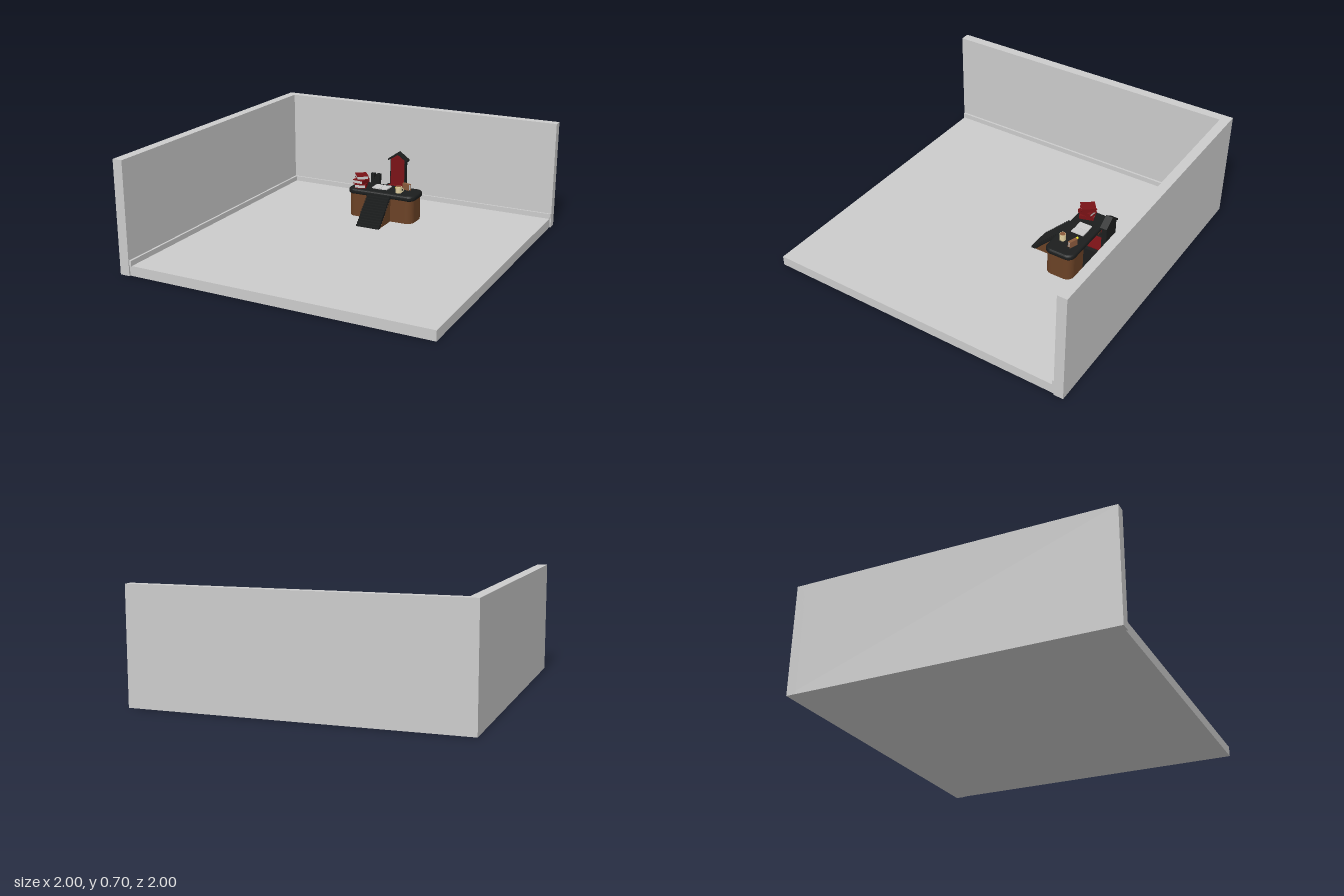
import * as THREE from 'three';

const mat = (color) => new THREE.MeshStandardMaterial({ color });
const grey = mat(0xcccccc), black = mat(0x1c1e1e), brown = mat(0x6b4226), red = mat(0x7a1216);
const paper = mat(0xd8d8d8), cream = mat(0xe0d0a0), yellow = mat(0xe8e020), tan = mat(0x8a5a3c);

function add(parent, name, geometry, material, x = 0, y = 0, z = 0) {
  const mesh = new THREE.Mesh(geometry, material);
  mesh.name = name;
  mesh.position.set(x, y, z);
  parent.add(mesh);
  return mesh;
}

// Box given by its min and max on each axis
function span(parent, name, material, x0, x1, y0, y1, z0, z1) {
  return add(parent, name, new THREE.BoxGeometry(x1 - x0, y1 - y0, z1 - z0), material,
    (x0 + x1) / 2, (y0 + y1) / 2, (z0 + z1) / 2);
}

// Upright rounded slab, base at y = 0
function roundedSlab(w, d, r, h, bevel = 0) {
  const x = w / 2 - bevel, y = d / 2 - bevel, s = new THREE.Shape();
  s.absarc(x - r, y - r, r, 0, Math.PI / 2);
  s.absarc(-x + r, y - r, r, Math.PI / 2, Math.PI);
  s.absarc(-x + r, -y + r, r, Math.PI, Math.PI * 1.5);
  s.absarc(x - r, -y + r, r, Math.PI * 1.5, Math.PI * 2);
  s.closePath();
  return new THREE.ExtrudeGeometry(s, {
    depth: h - 2 * bevel, bevelEnabled: bevel > 0, bevelSize: bevel,
    bevelThickness: bevel, bevelSegments: 4, curveSegments: 8,
  }).rotateX(-Math.PI / 2).translate(0, bevel, 0);
}

// Closed book lying flat: two covers, a spine and the pages
function closedBook(w, h, d, cover) {
  const book = new THREE.Group(), t = h * 0.14;
  span(book, 'lowerCover', cover, -w / 2, w / 2, 0, t, -d / 2, d / 2);
  span(book, 'upperCover', cover, -w / 2, w / 2, h - t, h, -d / 2, d / 2);
  span(book, 'spine', cover, w / 2 - t, w / 2, t, h - t, -d / 2, d / 2);
  span(book, 'pages', paper, -w / 2 + t, w / 2 - t, t, h - t, -d / 2 + t, d / 2 - t);
  return book;
}

function buildRoom() {
  const room = new THREE.Group();
  room.name = 'room';
  span(room, 'floor', grey, -0.99, 0.987, 0, 0.062, -0.99, 0.99);
  span(room, 'backWall', grey, -1, 0.995, 0, 0.7, -1, -0.94);
  span(room, 'sideWall', grey, -1, -0.937, 0, 0.7, -1, 1);
  span(room, 'backBaseboard', grey, -0.94, 0.99, 0.06, 0.095, -0.94, -0.927);
  span(room, 'sideBaseboard', grey, -0.94, -0.923, 0.06, 0.095, -0.94, 0.995);
  return room;
}

function buildDesk() {
  const desk = new THREE.Group();
  desk.name = 'desk';
  add(desk, 'deskBody', roundedSlab(0.455, 0.18, 0.05, 0.16), brown, 0, 0.06, -0.495);
  add(desk, 'deskTop', roundedSlab(0.475, 0.195, 0.035, 0.037, 0.015), black, 0, 0.212, -0.497);

  // Front staircase: thin dark treads over a solid wedge
  const steps = 13, rise = 0.178 / steps, run = 0.175 / steps;
  for (let i = 0; i < steps; i++) {
    const y = 0.06 + i * rise, z = -0.225 - i * run;
    span(desk, 'step', black, -0.08, 0.08, y, y + rise, z - run * 2, z);
  }
  const wedge = new THREE.Shape([[0.25, 0.06], [0.43, 0.06], [0.43, 0.226], [0.416, 0.226]]
    .map(([x, y]) => new THREE.Vector2(x, y)));
  add(desk, 'stairSupport', new THREE.ExtrudeGeometry(wedge, { depth: 0.156, bevelEnabled: false })
    .rotateY(Math.PI / 2), brown, -0.078);
  return desk;
}

function buildThrone() {
  const throne = new THREE.Group();
  throne.name = 'throne';
  span(throne, 'seatBase', black, -0.08, 0.078, 0.062, 0.218, -0.718, -0.575);
  span(throne, 'seatCushion', red, -0.058, 0.052, 0.215, 0.223, -0.685, -0.595);

  // Gabled backrest with a red front panel
  const gable = (w, shoulder, peak) => new THREE.Shape([[-w, 0.2], [w, 0.2], [w, shoulder], [0, peak], [-w, shoulder]]
    .map(([x, y]) => new THREE.Vector2(x, y)));
  const plate = (w, s, p, depth) => new THREE.ExtrudeGeometry(gable(w, s, p), { depth, bevelEnabled: false });
  add(throne, 'backrest', plate(0.055, 0.4, 0.44, 0.032), black, 0, 0, -0.718);
  add(throne, 'backPanel', plate(0.049, 0.4, 0.432, 0.004), red, 0, 0, -0.686);
  for (const s of [-1, 1]) {
    const rafter = new THREE.Shape([[0, 0.436], [0.068, 0.389], [0.068, 0.402], [0, 0.45]]
      .map(([x, y]) => new THREE.Vector2(s * x, y)));
    add(throne, 'roofEdge', new THREE.ExtrudeGeometry(rafter, { depth: 0.044, bevelEnabled: false }), black, 0, 0, -0.723);
  }
  return throne;
}

function buildSideChair() {
  const chair = new THREE.Group();
  chair.name = 'sideChair';
  span(chair, 'chairBase', black, -0.175, -0.11, 0.062, 0.2, -0.662, -0.58);
  span(chair, 'chairBack', black, -0.175, -0.11, 0.2, 0.27, -0.662, -0.636);
  for (const x of [-0.175, -0.135]) {
    span(chair, 'chairPost', black, x, x + 0.025, 0.2, 0.295, -0.662, -0.634);
    span(chair, 'chairArm', black, x, x + 0.025, 0.2, 0.22, -0.636, -0.595);
  }
  return chair;
}

function buildDeskItems() {
  const items = new THREE.Group();
  items.name = 'deskItems';

  // Stack of books, each turned a little
  [[-0.165, -0.47, 0.3], [-0.165, -0.47, -0.1], [-0.163, -0.473, 0.65]].forEach(([x, z, turn], i) => {
    const book = closedBook(0.075, 0.026, 0.09, red);
    book.name = 'stackedBook';
    book.position.set(x, 0.248 + i * 0.029, z);
    book.rotation.y = turn;
    items.add(book);
  });

  // Open book
  for (const s of [-1, 1]) {
    const page = add(items, 'openPage', new THREE.BoxGeometry(0.053, 0.007, 0.083), paper, -0.03 + s * 0.0275, 0.253, -0.507);
    page.rotation.z = s * 0.04;
  }

  add(items, 'yellowBall', new THREE.SphereGeometry(0.008, 12, 8), yellow, 0.06, 0.255, -0.53);

  // Mug with drink and handle
  add(items, 'mug', new THREE.CylinderGeometry(0.02, 0.02, 0.042, 20), cream, 0.112, 0.27, -0.46);
  add(items, 'drink', new THREE.CylinderGeometry(0.017, 0.017, 0.003, 20), tan, 0.112, 0.291, -0.46);
  add(items, 'mugHandle', new THREE.TorusGeometry(0.012, 0.003, 6, 16), cream, 0.132, 0.27, -0.463);

  // Small upright book
  const upright = closedBook(0.042, 0.02, 0.058, tan);
  upright.name = 'uprightBook';
  upright.rotation.set(0, -0.35, 0);
  upright.children.forEach((part) => {
    part.geometry.translate(part.position.x, part.position.y - 0.01, part.position.z)
      .rotateX(Math.PI / 2).rotateZ(Math.PI / 2);
    part.position.set(0, 0, 0);
  });
  upright.position.set(0.132, 0.27, -0.54);
  items.add(upright);
  return items;
}

export function createModel() {
  const model = new THREE.Group();
  model.name = 'roomWithDesk';
  model.add(buildRoom(), buildDesk(), buildThrone(), buildSideChair(), buildDeskItems());
  return model;
}
